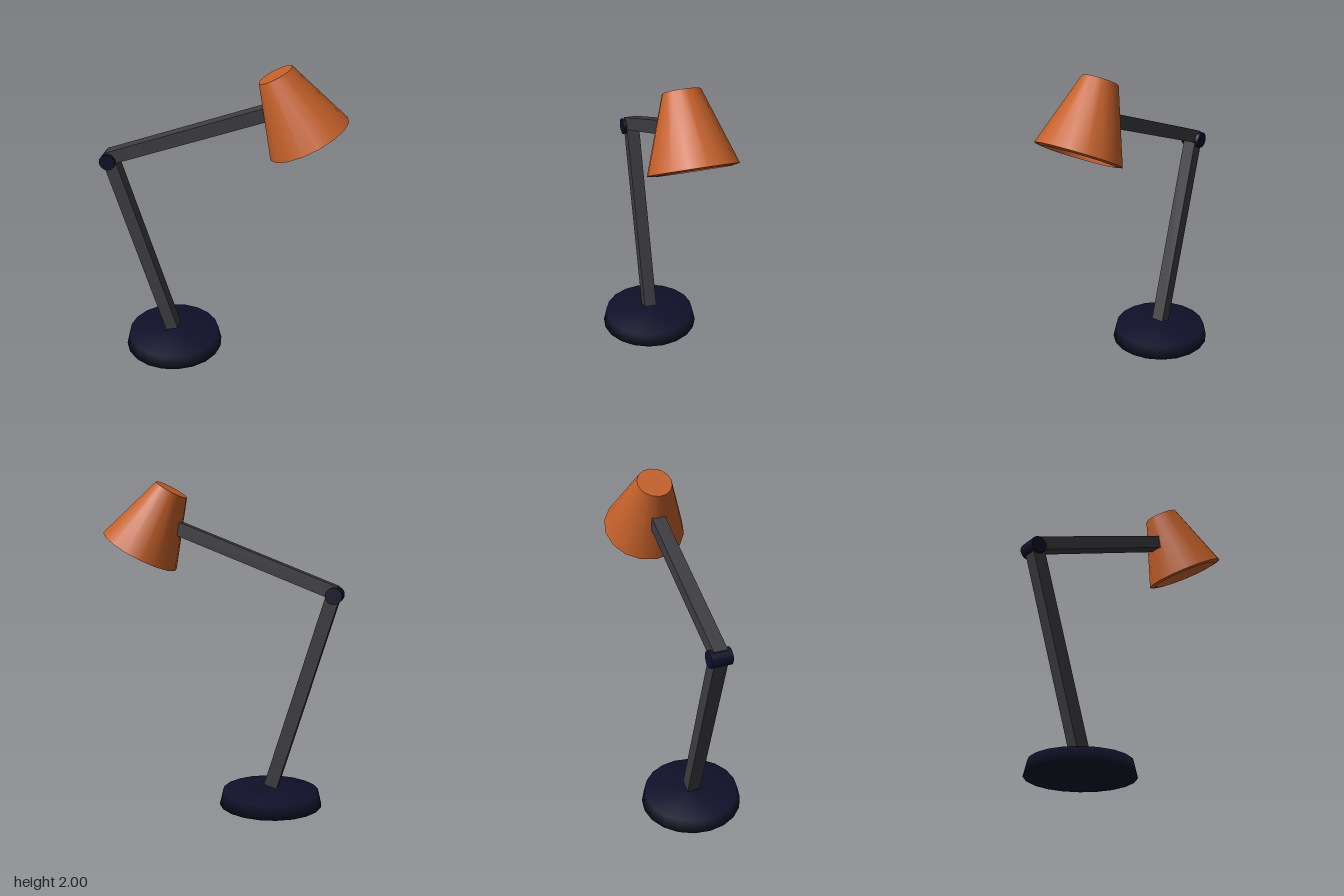
import * as THREE from 'three';
import { toCreasedNormals } from 'three/addons/utils/BufferGeometryUtils.js';

const paint = (name, color) => {
  const m = new THREE.MeshStandardMaterial({ color });
  m.name = name;
  return m;
};

const lathe = (points, sides) =>
  new THREE.LatheGeometry(points.map(([r, y]) => new THREE.Vector2(r, y)), sides);

export function createModel() {
  const navy = paint('darkNavy', 0x10102a);
  const grey = paint('charcoalGrey', 0x3d3d42);
  const orange = paint('burntOrange', 0xc4602a);

  const lamp = new THREE.Group();
  lamp.name = 'deskLamp';

  const add = (name, geometry, material, x, y, tilt = 0) => {
    const mesh = new THREE.Mesh(geometry, material);
    mesh.name = name;
    mesh.position.set(x, y, 0);
    mesh.rotation.z = tilt;
    lamp.add(mesh);
    return mesh;
  };

  // Square bar running between two points in the z = 0 plane
  const addArm = (name, [x1, y1], [x2, y2], width) => {
    const length = Math.hypot(x2 - x1, y2 - y1);
    add(name, new THREE.BoxGeometry(length, width, width), grey,
      (x1 + x2) / 2, (y1 + y2) / 2, Math.atan2(y2 - y1, x2 - x1));
  };

  // Round foot, softly shaded over its edges
  add('base', lathe([[0, 0], [0.32, 0], [0.3, 0.087], [0, 0.087]], 20), navy, -0.32, 0);

  // Two arms and the elbow pin between them
  addArm('lowerArm', [-0.325, 0.12], [-0.693, 1.32], 0.083);
  addArm('upperArm', [-0.705, 1.34], [0.28, 1.717], 0.083);
  const pin = new THREE.CylinderGeometry(0.051, 0.051, 0.127, 16).rotateX(Math.PI / 2);
  add('elbowJoint', pin, navy, -0.7, 1.325);

  // Hollow shade: inside wall, rim, then outside wall up to the closed top
  const shell = lathe([
    [0, 0.4], [0.085, 0.4], [0.215, -0.008],
    [0.256, 0], [0.107, 0.43], [0, 0.43],
  ], 16);
  add('shade', toCreasedNormals(shell, 0.9), orange, 0.525, 1.573, 0.505);

  return lamp;
}
